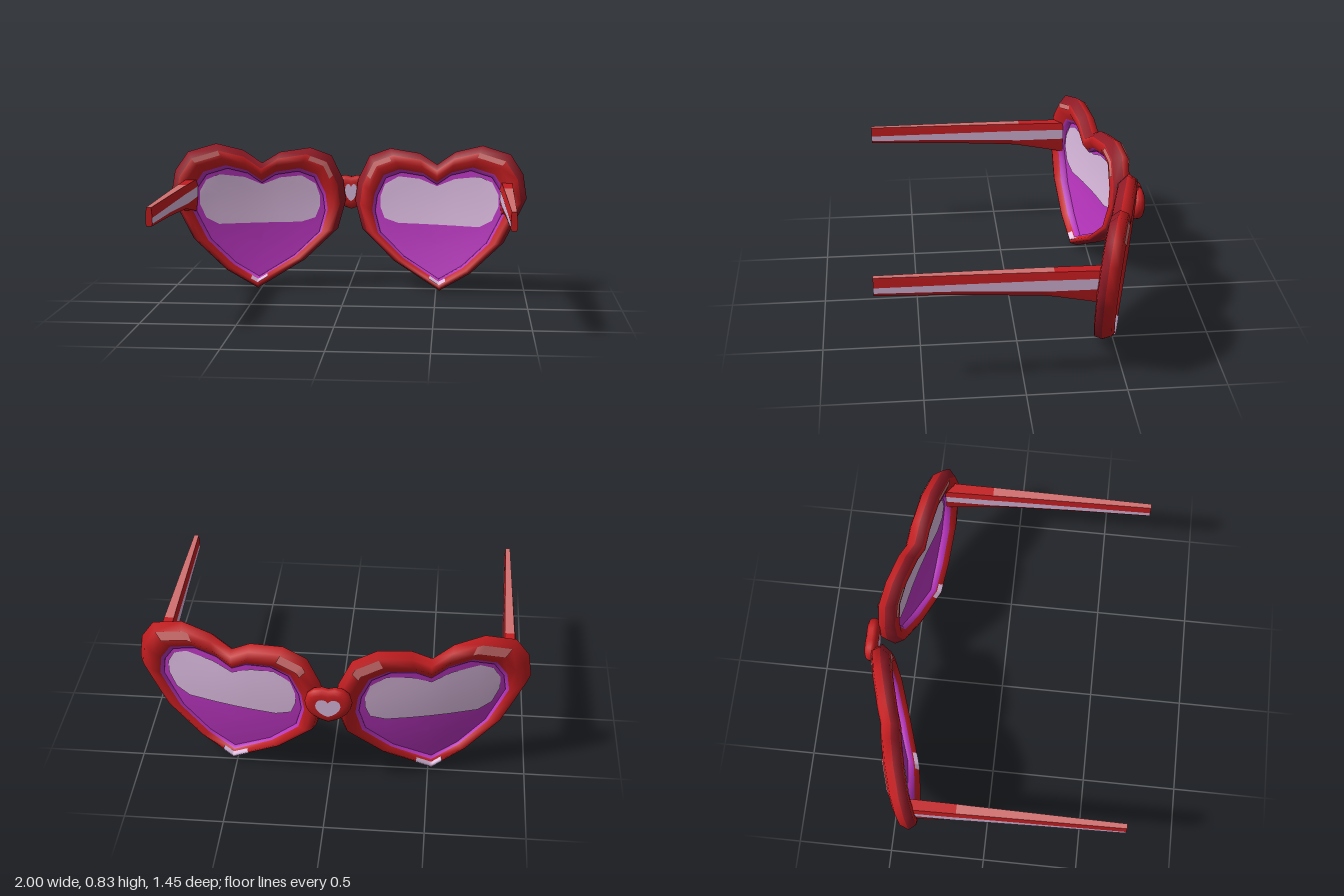
import * as THREE from 'three';
import { toCreasedNormals } from 'three/addons/utils/BufferGeometryUtils.js';

const mat = (name, color, side = THREE.FrontSide) =>
  Object.assign(new THREE.MeshStandardMaterial({ color, side }), { name });

// Grid surface from fn(i, j) -> [x, y, z]; outward normal = di x dj.
// Each strip along i gets a group, with its material index taken from strips[j].
function grid(fn, nu, nv, { wrapU = false, wrapV = false, flip = false, strips = null } = {}) {
  const pos = [], idx = [];
  const g = new THREE.BufferGeometry();
  for (let i = 0; i < nu; i++) for (let j = 0; j < nv; j++) pos.push(...fn(i, j));
  for (let j = 0; j < (wrapV ? nv : nv - 1); j++) {
    const start = idx.length;
    for (let i = 0; i < (wrapU ? nu : nu - 1); i++) {
      const i2 = (i + 1) % nu, j2 = (j + 1) % nv;
      const a = i * nv + j, b = i2 * nv + j, c = i2 * nv + j2, d = i * nv + j2;
      if (flip) idx.push(a, c, b, a, d, c);
      else idx.push(a, b, c, a, c, d);
    }
    if (strips) g.addGroup(start, idx.length - start, strips[j]);
  }
  g.setAttribute('position', new THREE.Float32BufferAttribute(pos, 3));
  g.setIndex(idx);
  g.computeVertexNormals();
  return g;
}

// Heart outline of one eyepiece, counter-clockwise from the bottom tip
const HEART = [[0.52, 0], [0.695, 0.11], [0.877, 0.294], [0.95, 0.44], [1, 0.545], [0.98, 0.68],
  [0.91, 0.786], [0.755, 0.83], [0.605, 0.79], [0.5, 0.715], [0.4, 0.775], [0.23, 0.797],
  [0.11, 0.75], [0.043, 0.61], [0.027, 0.49], [0.07, 0.33], [0.257, 0.155]];
const N = HEART.length, CX = 0.5, CY = 0.26;

// Rim section: [scale towards the heart centre, depth offset]
const RIM = [[1, 0], [0.935, 0.04], [0.86, 0.046], [0.785, 0.018], [0.75, 0.005], [0.75, -0.02],
  [0.785, -0.033], [0.87, -0.06], [0.955, -0.045]];
// Rim colour per strip: 0 red, 1 dark red, 2 purple
const RIM_STRIPS = [1, 0, 0, 2, 2, 2, 0, 0, 0];

const planeZ = (x, y) => -0.49 + 0.26 * (x - 0.5) - 0.09 * (y - 0.4);
const lerp = (a, b, t) => a + (b - a) * t;
const sample = (list, t) => {
  const i = Math.floor(t), n = list.length;
  const a = list[((i % n) + n) % n], b = list[(((i + 1) % n) + n) % n];
  return [lerp(a[0], b[0], t - i), lerp(a[1], b[1], t - i)];
};
function rimPoint(u, v, side, lift = 0) {
  const [hx, hy] = sample(HEART, u), [s, dz] = sample(RIM, v);
  const x = lerp(CX, hx, s), y = lerp(CY, hy, s);
  return [x * side, y, planeZ(x, y) + dz + lift];
}
// Gently domed lens surface
function lensPoint(x, y, side, lift = 0) {
  const r2 = ((x - 0.51) / 0.36) ** 2 + ((y - 0.4) / 0.34) ** 2;
  return [x * side, y, planeZ(x, y) - 0.01 - 0.025 * Math.max(0, 1 - r2) + lift];
}

// Lens shine: [x, bottom, top]
const SHINE = [[0.175, 0.46, 0.52], [0.2, 0.395, 0.59], [0.28, 0.37, 0.638], [0.4, 0.37, 0.628], [0.5, 0.37, 0.59],
  [0.6, 0.37, 0.635], [0.74, 0.37, 0.655], [0.81, 0.41, 0.625], [0.845, 0.49, 0.56]];

// Temple stations: [z, half width, bottom, stripe bottom, stripe top, top]
const TEMPLE = [[-0.4, 0.038, 0.45, 0.535, 0.592, 0.63], [-0.14, 0.034, 0.5, 0.533, 0.592, 0.633],
  [-0.08, 0.032, 0.507, 0.535, 0.592, 0.634], [0.3, 0.025, 0.528, 0.55, 0.588, 0.635],
  [0.72, 0.017, 0.54, 0.554, 0.583, 0.635]];
function templeRing([z, w, b, lo, hi, t], cx) {
  const k = w * 0.75;
  return [[k, b], [w, lo], [w, hi], [k, t], [-k, t], [-w, hi], [-w, lo], [-k, b]].map(([x, y]) => [cx + x, y, z]);
}

function heartShape(w, h) {
  const s = new THREE.Shape();
  s.moveTo(0, -h / 2);
  s.bezierCurveTo(w * 0.3, -h * 0.4, w * 0.5, -h * 0.1, w * 0.5, h * 0.15);
  s.bezierCurveTo(w * 0.5, h * 0.55, w * 0.12, h * 0.62, 0, h * 0.32);
  s.bezierCurveTo(-w * 0.12, h * 0.62, -w * 0.5, h * 0.55, -w * 0.5, h * 0.15);
  s.bezierCurveTo(-w * 0.5, -h * 0.1, -w * 0.3, -h * 0.4, 0, -h / 2);
  return s;
}

export function createModel() {
  const red = mat('frame red', 0xc41d20);
  const darkRed = mat('inner edge dark red', 0x921a26);
  const purple = mat('lens purple', 0xb935bf, THREE.DoubleSide);
  const lilac = mat('pale lilac shine', 0xdcbbe0, THREE.DoubleSide);
  const pink = mat('soft pink shine', 0xd27070, THREE.DoubleSide);
  const model = new THREE.Group();
  model.name = 'heartGlasses';
  const add = (parent, name, geo, material) => {
    const m = new THREE.Mesh(geo, material);
    m.name = name;
    parent.add(m);
    return m;
  };

  for (const side of [1, -1]) {
    const label = side > 0 ? 'left' : 'right', flip = side < 0;

    // Heart eyepiece: rim, lens and shine on both faces
    const eye = new THREE.Group();
    eye.name = label + 'Eyepiece';
    model.add(eye);
    add(eye, 'rim', grid((i, j) => rimPoint(i, j, side), N, RIM.length,
      { wrapU: true, wrapV: true, flip, strips: RIM_STRIPS }), [red, darkRed, purple]);
    add(eye, 'lens', grid((i, j) => {
      const s = 0.77 * (1 - j / 6);
      return lensPoint(lerp(CX, HEART[i][0], s), lerp(CY, HEART[i][1], s), side);
    }, N, 7, { wrapU: true, flip }), purple);
    for (const lift of [0.007, -0.007]) {
      add(eye, 'lensShine', grid((i, j) => {
        const [x, b, t] = SHINE[i];
        return lensPoint(x, lerp(b, t, j / 5), side, lift);
      }, SHINE.length, 6, { flip: flip !== (lift < 0) }), lilac);
    }

    // Glints on the lobes and the tip: [u0, u1, v0, v1, material]
    const glints = [[6, 7.2, 7.1, 8, pink], [11, 12.2, 7.1, 8, pink], [6, 7, 1, 1.6, pink], [11.2, 12.6, 1, 1.6, pink],
      [-0.35, 0.35, 6.3, 7.8, lilac], [-0.25, 0.25, 2.2, 3, lilac]];
    for (const [u0, u1, v0, v1, m] of glints) {
      const lift = v0 > 4 ? -0.006 : 0.006;
      add(eye, 'rimGlint', grid((i, j) => rimPoint(lerp(u0, u1, i / 12), lerp(v0, v1, j / 4), side, lift), 13, 5, { flip }), m);
    }

    // Temple arm: eight long faces with a stripe on each flank
    const arm = new THREE.Group();
    arm.name = label + 'Temple';
    model.add(arm);
    const rings = TEMPLE.map((t) => templeRing(t, 0.89 * side));
    const strip = (name, k, from, to, m) =>
      add(arm, name, grid((i, j) => rings[from + j][(k + i) % 8], 2, to - from + 1), m);
    for (let k = 0; k < 8; k++) {
      if (k === 3) {
        strip('templeTopFront', k, 0, 1, red);
        strip('templeTop', k, 1, 4, pink);
      } else if (k === 1 || k === 5) strip('templeStripe', k, 0, 4, lilac);
      else strip('templeFace', k, 0, 4, red);
    }
    add(arm, 'templeEnd', grid((i, j) => (j ? [0.89 * side, 0.585, 0.72] : rings[4][i]), 8, 2, { wrapU: true }), red);
  }

  // Domed heart-shaped bridge with a shine on both faces
  const bridge = new THREE.Group();
  bridge.name = 'bridge';
  bridge.position.set(0, 0.53, -0.69);
  model.add(bridge);
  const body = new THREE.ExtrudeGeometry(heartShape(0.15, 0.11), {
    depth: 0.006, bevelEnabled: true, bevelThickness: 0.03, bevelSize: 0.042, bevelSegments: 4, curveSegments: 5,
  });
  body.translate(0, 0, -0.003);
  add(bridge, 'bridgeBody', toCreasedNormals(body, 0.9), red);
  for (const [s, w, h] of [[1, 0.07, 0.1], [-1, 0.125, 0.1]]) {
    const shine = add(bridge, 'bridgeShine', new THREE.ShapeGeometry(heartShape(w, h), 5), lilac);
    shine.position.z = 0.036 * s;
    if (s < 0) shine.rotation.y = Math.PI;
  }
  return model;
}
